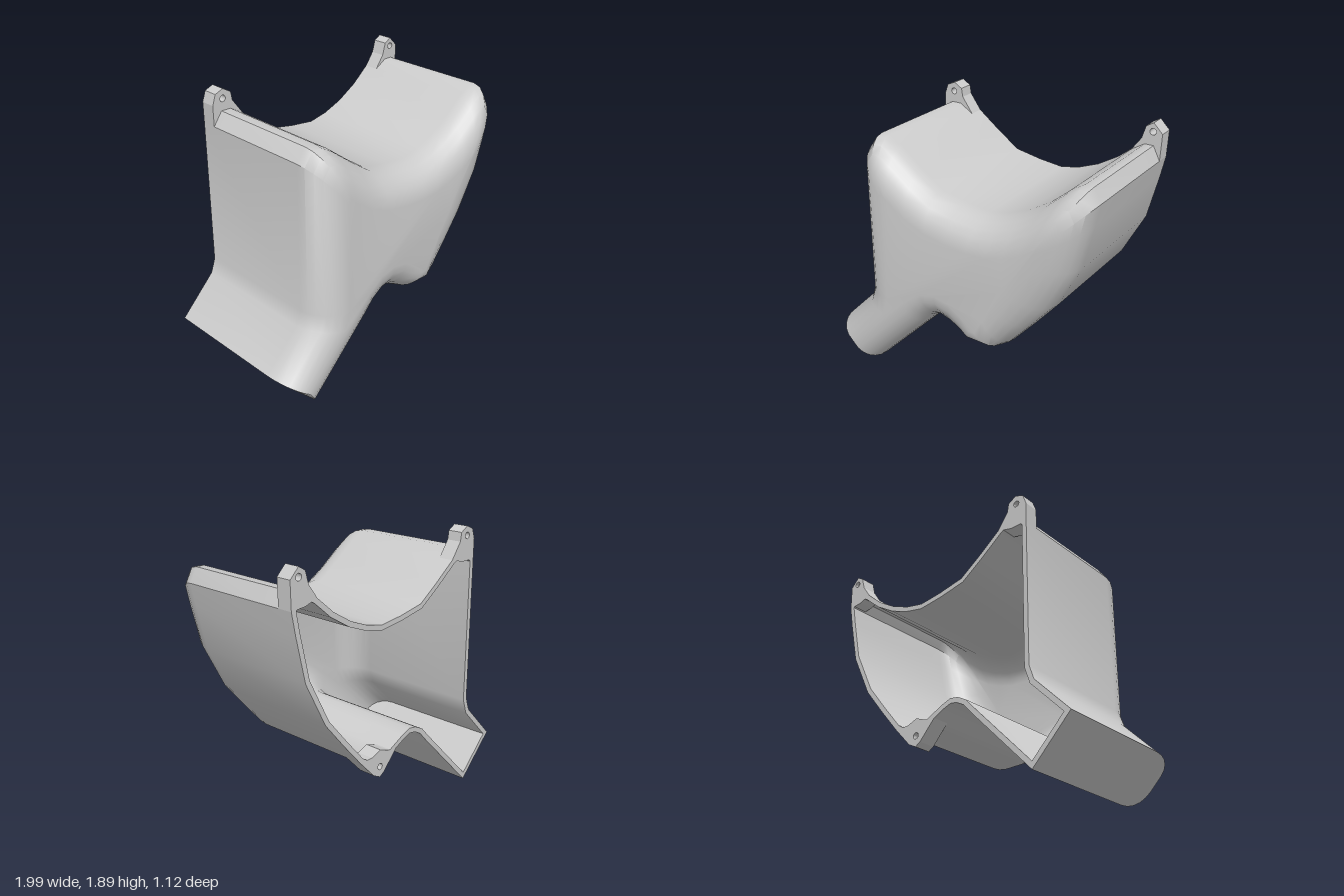
import * as THREE from 'three';
import { toCreasedNormals } from 'three/addons/utils/BufferGeometryUtils.js';

const BACK = -0.56, FILLET = 0.33, FRONT = 0.555, WALL = 0.035;

// Outline, counter-clockwise: side wall x, y, then where its rounding meets the front face
const OUTLINE = [
  [-0.72, 0, -0.83, 0.165], [-0.25, 0.475, -0.37, 0.62], [-0.19, 0.54, -0.31, 0.69],
  [-0.13, 0.572, -0.2, 0.77], [-0.08, 0.58, -0.08, 0.795], [-0.01, 0.555, 0.04, 0.77],
  [0.06, 0.52, 0.14, 0.7], [0.12, 0.49, 0.2, 0.63], [0.34, 0.485, 0.24, 0.63], [0.41, 0.53, 0.3, 0.74],
  [0.56, 0.7, 0.37, 0.86], [0.72, 0.89, 0.45, 1.0], [0.88, 1.2, 0.6, 1.23], [0.95, 1.5, 0.66, 1.32],
  [0.98, 1.65, 0.685, 1.355], [0.93, 1.745, 0.68, 1.365], [0.87, 1.745, 0.67, 1.36],
  [0.78, 1.69, 0.64, 1.34], [0.65, 1.58, 0.56, 1.28], [0.5, 1.49, 0.45, 1.235],
  [0.36, 1.435, 0.32, 1.2], [0.22, 1.405, 0.18, 1.195], [0.04, 1.425, 0.02, 1.205],
  [-0.15, 1.46, -0.14, 1.235], [-0.31, 1.57, -0.3, 1.3], [-0.47, 1.69, -0.43, 1.39],
  [-0.57, 1.75, -0.46, 1.425], [-0.64, 1.75, -0.48, 1.43], [-0.705, 1.66, -0.5, 1.41],
  [-0.71, 0.645, -0.49, 0.645], [-0.745, 0.545, -0.53, 0.515], [-1, 0.285, -0.85, 0.185],
];

// Outline moved inward by the wall thickness
function inset(points, d) {
  const n = points.length;
  const normal = (a, b) => new THREE.Vector2(a[1] - b[1], b[0] - a[0]).normalize();
  return points.map((p, i) => {
    const n1 = normal(points[(i + n - 1) % n], p), n2 = normal(p, points[(i + 1) % n]);
    const m = n1.clone().add(n2).normalize();
    const k = d / Math.max(0.6, m.dot(n1));
    return [p[0] + m.x * k, p[1] + m.y * k, p[2], p[3]];
  });
}

// Rings from the back edge, along the wall and around the rounding to the front
function rings(points, front) {
  const list = [points.map(p => [p[0], p[1], BACK])];
  const steps = 6;
  for (let s = 0; s <= steps; s++) {
    const t = s / steps * Math.PI / 2, c = Math.cos(t);
    list.push(points.map(([x, y, ix, iy]) =>
      [ix + (x - ix) * c, iy + (y - iy) * c, FILLET + (front - FILLET) * Math.sin(t)]));
  }
  return list;
}

function shellGeometry() {
  const outer = rings(OUTLINE, FRONT);
  const inner = rings(inset(OUTLINE, WALL), FRONT - WALL);
  // Inside surface, back rim and outside surface in one sweep
  const all = [...inner.reverse(), ...outer];
  const n = OUTLINE.length, positions = all.flat(2), index = [];
  for (let r = 0; r < all.length - 1; r++) {
    for (let i = 0; i < n; i++) {
      const j = (i + 1) % n, a = r * n + i, b = r * n + j;
      index.push(a, b, b + n, a, b + n, a + n);
    }
  }
  // Front face, outside and inside
  const flat = OUTLINE.map(p => new THREE.Vector2(p[2], p[3]));
  const last = (all.length - 1) * n;
  for (const [a, b, c] of THREE.ShapeUtils.triangulateShape(flat, [])) {
    index.push(last + a, last + b, last + c, a, c, b);
  }
  const geometry = new THREE.BufferGeometry();
  geometry.setAttribute('position', new THREE.Float32BufferAttribute(positions, 3));
  geometry.setIndex(index);
  return toCreasedNormals(geometry, 0.6);
}

// Screw lug: outline with a round hole, extruded forward from the back edge
function lugGeometry(points, [hx, hy], depth) {
  const shape = new THREE.Shape(points.map(p => new THREE.Vector2(...p)));
  const hole = new THREE.Path();
  hole.absarc(hx, hy, 0.022, 0, Math.PI * 2, true);
  shape.holes.push(hole);
  const geometry = new THREE.ExtrudeGeometry(shape, { depth, bevelEnabled: false, curveSegments: 8 });
  geometry.translate(0, 0, BACK);
  return geometry;
}

export function createModel() {
  const model = new THREE.Group();
  const material = new THREE.MeshStandardMaterial({ color: 0xcccccc, side: THREE.DoubleSide });
  const add = (name, geometry) => {
    const mesh = new THREE.Mesh(geometry, material);
    mesh.name = name;
    model.add(mesh);
  };

  add('housingShell', shellGeometry());

  add('rightTopLug', lugGeometry(
    [[-0.705, 1.66], [-0.58, 1.66], [-0.47, 1.69], [-0.55, 1.8], [-0.56, 1.86], [-0.62, 1.895],
      [-0.68, 1.87], [-0.705, 1.8]], [-0.625, 1.83], 0.105));
  add('leftTopLug', lugGeometry(
    [[0.98, 1.65], [0.985, 1.83], [0.92, 1.895], [0.87, 1.865], [0.845, 1.78], [0.78, 1.69],
      [0.87, 1.66]], [0.92, 1.835], 0.105));
  add('bottomLug', lugGeometry(
    [[0.06, 0.52], [0.18, 0.39], [0.22, 0.365], [0.28, 0.395], [0.41, 0.53], [0.3, 0.53],
      [0.22, 0.56], [0.14, 0.53]], [0.22, 0.44], 0.12));
  return model;
}
